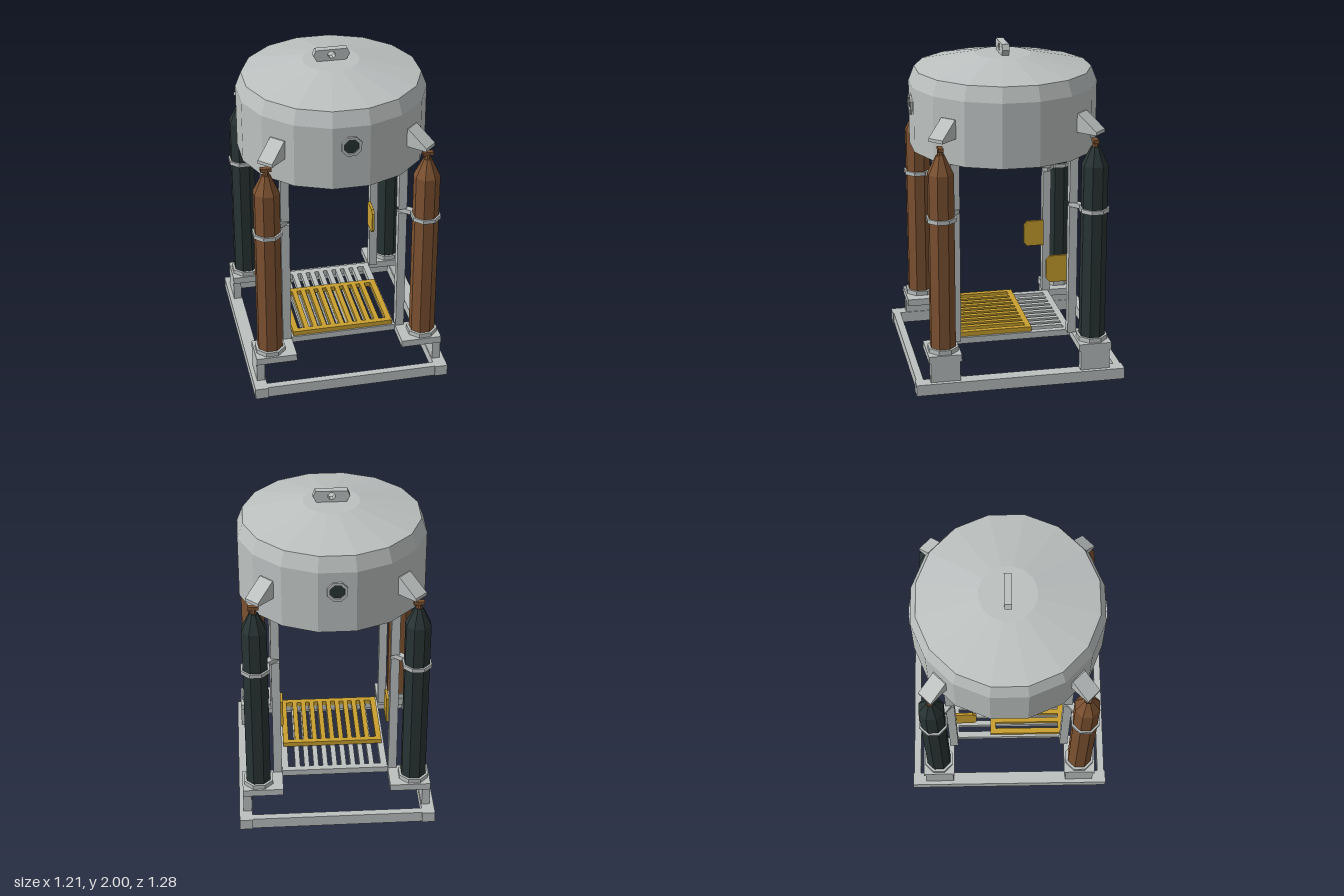
import * as THREE from 'three';

const mat = (name, color) => {
  const m = new THREE.MeshStandardMaterial({ color });
  m.name = name;
  return m;
};

export function createModel() {
  const steel = mat('grey steel', 0xbcc1c0);
  const yellow = mat('yellow paint', 0xc9a02f);
  const brown = mat('brown paint', 0x7d5231);
  const dark = mat('dark green black', 0x293434);

  const root = new THREE.Group();
  root.name = 'divingBell';

  // Faceted mesh helper
  const add = (parent, name, geo, material) => {
    const g = geo.index ? geo.toNonIndexed() : geo;
    g.computeVertexNormals();
    const mesh = new THREE.Mesh(g, material);
    mesh.name = name;
    parent.add(mesh);
    return mesh;
  };
  // Box from its minimum and maximum on each axis
  const box = (parent, name, material, x0, x1, y0, y1, z0, z1) => {
    const m = add(parent, name, new THREE.BoxGeometry(x1 - x0, y1 - y0, z1 - z0), material);
    m.position.set((x0 + x1) / 2, (y0 + y1) / 2, (z0 + z1) / 2);
    return m;
  };
  const lathe = (pts, sides) => new THREE.LatheGeometry(
    pts.map(p => new THREE.Vector2(...p)), sides, Math.PI / sides);
  // Extruded outline, centred on its thickness
  const plate = (pts, depth, hole) => {
    const s = new THREE.Shape(pts.map(p => new THREE.Vector2(...p)));
    if (hole) s.holes.push(new THREE.Path(hole.map(p => new THREE.Vector2(...p))));
    return new THREE.ExtrudeGeometry(s, { depth, bevelEnabled: false }).translate(0, 0, -depth / 2);
  };
  const ngon = (r, n, cx = 0, cy = 0) => Array.from({ length: n }, (_, i) => {
    const a = (i + 0.5) * 2 * Math.PI / n;
    return [cx + r * Math.cos(a), cy + r * Math.sin(a)];
  });

  // Hollow dome, open at the bottom
  add(root, 'dome', lathe([
    [0, 1.905], [0.165, 1.905], [0.52, 1.83], [0.55, 1.755], [0.55, 1.37],
    [0.57, 1.37], [0.57, 1.76], [0.535, 1.85], [0.17, 1.93], [0, 1.93],
  ], 16), steel);

  // Lifting lug with a hole
  add(root, 'liftingLug', plate(
    [[-0.085, 1.925], [0.085, 1.925], [0.11, 1.965], [0.095, 2], [-0.095, 2], [-0.11, 1.965]],
    0.044, ngon(0.023, 8, 0, 1.967)), steel);

  // Portholes at front and back
  for (const s of [1, -1]) {
    const port = new THREE.Group();
    port.name = s > 0 ? 'frontPorthole' : 'backPorthole';
    port.rotation.y = s > 0 ? 0 : Math.PI;
    root.add(port);
    add(port, 'portholeRim', plate(ngon(0.064, 8), 0.02, ngon(0.046, 8)), steel)
      .position.set(0, 1.64, 0.562);
    add(port, 'portholeGlass', plate(ngon(0.047, 8), 0.03), dark).position.set(0, 1.64, 0.548);
  }

  // Base frame
  for (const s of [1, -1]) {
    box(root, 'sideBeam', steel, s * 0.565 - 0.04, s * 0.565 + 0.04, 0, 0.07, -0.64, 0.64);
    box(root, 'crossBeam', steel, -0.525, 0.525, 0, 0.07, s * 0.61 - 0.022, s * 0.61 + 0.022);
  }

  // Grating: a frame with slats running front to back
  const grating = (name, material, hx, z0, z1, y0, y1, rim, count, slat) => {
    const g = new THREE.Group();
    g.name = name;
    root.add(g);
    for (const s of [1, -1]) {
      const x = s * (hx - rim / 2);
      box(g, 'gratingSide', material, x - rim / 2, x + rim / 2, y0, y1, z0, z1);
    }
    box(g, 'gratingBack', material, -hx + rim, hx - rim, y0, y1, z0, z0 + rim);
    box(g, 'gratingFront', material, -hx + rim, hx - rim, y0, y1, z1 - rim, z1);
    for (let i = 1; i <= count; i++) {
      const x = -hx + rim + (2 * (hx - rim) * i) / (count + 1);
      box(g, 'slat', material, x - slat / 2, x + slat / 2, y0, y1, z0 + rim, z1 - rim);
    }
  };
  grating('floorGrating', steel, 0.33, -0.37, 0.37, 0.195, 0.235, 0.04, 9, 0.032);
  grating('yellowGrating', yellow, 0.315, -0.12, 0.36, 0.235, 0.265, 0.035, 9, 0.03);

  // Corner assemblies: foot, post, gas bottle, clamp and dome bracket
  const cx = 0.48, cz = 0.46;
  for (const sx of [1, -1]) for (const sz of [1, -1]) {
    const corner = new THREE.Group();
    corner.name = (sz > 0 ? 'front' : 'back') + (sx > 0 ? 'Left' : 'Right') + 'Corner';
    root.add(corner);
    const cbox = (name, material, x0, x1, y0, y1, z0, z1) => {
      const m = box(corner, name, material, x0, x1, y0, y1, z0, z1);
      m.position.x *= sx;
      m.position.z *= sz;
    };
    cbox('footPlate', steel, 0.33, 0.58, 0.193, 0.237, 0.36, 0.56);
    cbox('footUpright', steel, 0.53, 0.58, 0.07, 0.193, 0.37, 0.55);
    cbox('lowerPost', steel, 0.333, 0.385, 0.235, 1.055, 0.333, 0.385);
    cbox('upperPost', steel, 0.333, 0.385, 1.08, 1.4, 0.333, 0.385);

    const bottle = new THREE.Group();
    bottle.name = 'gasBottle';
    bottle.position.set(sx * cx, 0, sz * cz);
    corner.add(bottle);
    add(bottle, 'bottleBody', lathe(
      [[0, 0.24], [0.08, 0.24], [0.08, 1.345], [0.026, 1.455], [0, 1.455]], 8),
      sz > 0 ? brown : dark);
    add(bottle, 'bottleCollar', lathe(
      [[0, 0.235], [0.096, 0.235], [0.096, 0.265], [0, 0.265]], 8), steel);
    add(bottle, 'valveNeck', lathe([[0.02, 1.45], [0.017, 1.485], [0, 1.485]], 8), brown);
    box(bottle, 'valveHandle', brown, -0.032, 0.032, 1.478, 1.5, -0.015, 0.015);

    // Clamp ring and its arm to the post
    add(bottle, 'clampRing', lathe(
      [[0.078, 1.08], [0.078, 1.055], [0.092, 1.055], [0.092, 1.08], [0.078, 1.08]], 8), steel);
    const arm = box(corner, 'clampArm', steel, -0.05, 0.05, 1.053, 1.082, -0.02, 0.02);
    arm.position.x = sx * 0.388;
    arm.position.z = sz * 0.38;
    arm.rotation.y = Math.atan2(-sz * 0.1, sx * 0.12);

    // Wedge bracket on the dome
    const bracket = add(corner, 'domeBracket', plate(
      [[0.54, 1.53], [0.69, 1.53], [0.69, 1.55], [0.565, 1.645], [0.54, 1.645]], 0.1), steel);
    bracket.rotation.y = Math.atan2(-sz, sx);
  }

  // Yellow paddles on the back posts
  for (const s of [1, -1]) {
    const paddle = add(root, 'paddle', plate([
      [0.205, 0.585], [0.228, 0.56], [0.335, 0.56], [0.335, 0.73], [0.228, 0.73], [0.205, 0.705],
    ], 0.016), yellow);
    paddle.rotation.y = Math.PI / 2;
    paddle.position.x = s * 0.325;
  }

  return root;
}
